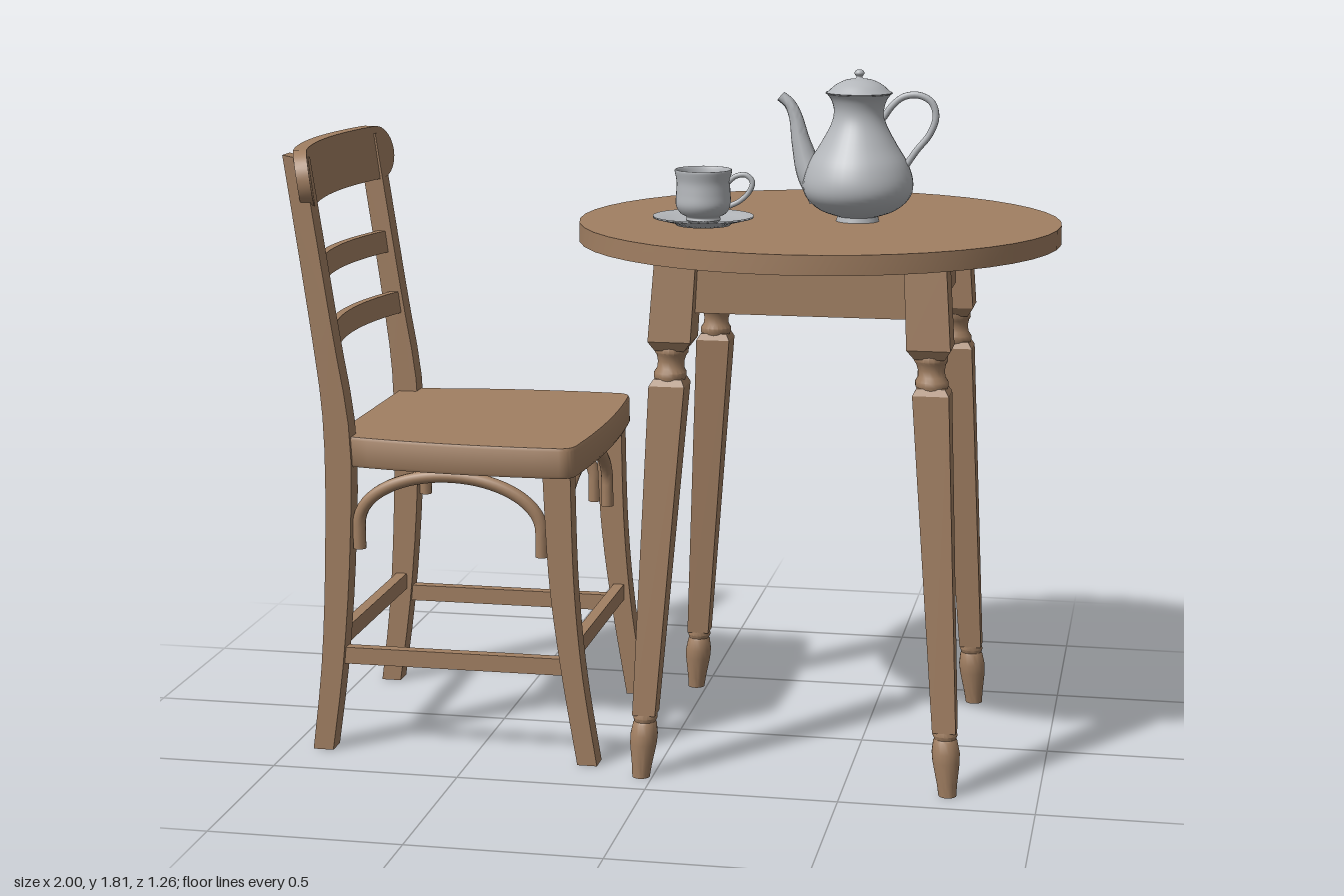
import * as THREE from 'three';
import { toCreasedNormals } from 'three/addons/utils/BufferGeometryUtils.js';

const V2 = (a) => a.map(([x, y]) => new THREE.Vector2(x, y));
const V3 = (a) => a.map((p) => new THREE.Vector3(...p));

// Move every vertex by a rule, then rebuild normals with sharp edges kept
function reshape(geo, rule, crease = 0.6) {
  const p = geo.attributes.position, v = new THREE.Vector3();
  for (let i = 0; i < p.count; i++) {
    rule(v.fromBufferAttribute(p, i), i);
    p.setXYZ(i, v.x, v.y, v.z);
  }
  return toCreasedNormals(geo, crease);
}

export function createModel() {
  const model = new THREE.Group();
  const wood = new THREE.MeshStandardMaterial({ color: 0xa17f62 });
  wood.name = 'wood';
  const glaze = new THREE.MeshStandardMaterial({ color: 0xb4b7bb, side: THREE.DoubleSide });
  glaze.name = 'grey glaze';

  const group = (name, x = 0, y = 0, z = 0) => {
    const g = new THREE.Group();
    g.name = name;
    g.position.set(x, y, z);
    model.add(g);
    return g;
  };
  const add = (parent, name, geo, mat = wood, x = 0, y = 0, z = 0) => {
    const m = new THREE.Mesh(geo, mat);
    m.name = name;
    m.position.set(x, y, z);
    parent.add(m);
    return m;
  };

  // ---- Table ----
  const table = group('table', 0.37);
  add(table, 'tableTop', toCreasedNormals(new THREE.CylinderGeometry(0.63, 0.63, 0.05, 44), 0.5), wood, 0, 1.395);

  // Splayed legs: square blocks joined by turned neck and foot
  const square = (y0, h0, y1, h1) =>
    new THREE.CylinderGeometry(h1 * Math.SQRT2, h0 * Math.SQRT2, y1 - y0, 4).rotateY(Math.PI / 4).translate(0, (y0 + y1) / 2, 0);
  const turned = (pts) => new THREE.LatheGeometry(V2(pts), 20);
  const legParts = [
    ['legBlock', () => square(1.15, 0.055, 1.37, 0.053)],
    ['legBlockChamfer', () => square(1.125, 0.038, 1.15, 0.055)],
    ['legNeck', () => turned([[0.036, 1.04], [0.042, 1.055], [0.042, 1.066], [0.035, 1.078], [0.034, 1.095],
      [0.038, 1.11], [0.043, 1.118], [0.043, 1.13], [0.036, 1.14]])],
    ['legShoulder', () => square(1.035, 0.046, 1.052, 0.036)],
    ['legTaper', () => square(0.17, 0.03, 1.035, 0.046)],
    ['legFoot', () => turned([[0, 0], [0.023, 0], [0.026, 0.03], [0.035, 0.09], [0.036, 0.115], [0.031, 0.145],
      [0.028, 0.15], [0.032, 0.16], [0.03, 0.172], [0, 0.175]])],
  ];
  for (const sx of [-1, 1]) for (const sz of [-1, 1]) {
    const leg = new THREE.Group();
    leg.name = 'tableLeg';
    table.add(leg);
    for (const [name, make] of legParts) {
      add(leg, name, reshape(make(), (v) => {
        const splay = 0.4 - 0.062 * v.y;
        v.x += sx * splay;
        v.z += sz * splay;
      }));
    }
  }
  for (const s of [-1, 1]) {
    add(table, 'apronSide', new THREE.BoxGeometry(0.56, 0.15, 0.04), wood, 0, 1.295, s * 0.315);
    add(table, 'apronEnd', new THREE.BoxGeometry(0.04, 0.15, 0.56), wood, s * 0.315, 1.295, 0);
  }

  // ---- Chair (faces +x) ----
  const chair = group('chair');
  const seat = new THREE.Shape();
  seat.moveTo(-0.875, -0.29);
  seat.lineTo(-0.825, -0.29);
  seat.lineTo(-0.825, -0.335);
  seat.quadraticCurveTo(-0.56, -0.39, -0.25, -0.374);
  seat.quadraticCurveTo(-0.215, -0.37, -0.21, -0.33);
  seat.quadraticCurveTo(-0.178, 0, -0.21, 0.33);
  seat.quadraticCurveTo(-0.215, 0.37, -0.25, 0.374);
  seat.quadraticCurveTo(-0.56, 0.39, -0.825, 0.335);
  seat.lineTo(-0.825, 0.29);
  seat.lineTo(-0.875, 0.29);
  const seatGeo = new THREE.ExtrudeGeometry(seat, {
    depth: 0.064, curveSegments: 10, bevelSize: 0.004, bevelThickness: 0.008, bevelOffset: -0.004, bevelSegments: 1,
  }).rotateX(-Math.PI / 2).translate(0, 0.788, 0);
  add(chair, 'seat', toCreasedNormals(seatGeo, 0.5));

  // Curved legs cut from a board: one smooth line up the front, one down the back
  const board = (front, back) => {
    const line = (pts) => new THREE.SplineCurve(V2(pts)).getPoints(16);
    const shape = new THREE.Shape([...line(front), ...line(back).reverse()]);
    return toCreasedNormals(new THREE.ExtrudeGeometry(shape, { depth: 0.058, bevelEnabled: false }).translate(0, 0, -0.029), 0.4);
  };
  const backLeg = board(
    [[-0.885, 0], [-0.85, 0.25], [-0.825, 0.55], [-0.818, 0.86], [-0.86, 1.15], [-0.925, 1.59]],
    [[-0.94, 0], [-0.91, 0.25], [-0.893, 0.55], [-0.889, 0.88], [-0.917, 1.15], [-0.98, 1.6]]);
  const frontLeg = board(
    [[-0.16, 0], [-0.198, 0.25], [-0.219, 0.5], [-0.226, 0.79]],
    [[-0.213, 0], [-0.254, 0.25], [-0.285, 0.5], [-0.3, 0.79]]);

  // Bent wooden arch under the seat, running along x
  const arch = (a) => {
    const pts = [];
    for (let i = 0; i <= 16; i++) {
      const t = Math.PI * (1 + 0.12 - (i / 16) * 1.24);
      pts.push([a * Math.cos(t), 0.625 + 0.137 * Math.sin(t) + (Math.sin(t) < 0 ? 0.03 * Math.sin(t) : 0), 0]);
    }
    pts[0] = [-a, 0.56, 0];
    pts[1] = [-a, 0.6, 0];
    pts[15] = [a, 0.6, 0];
    pts[16] = [a, 0.56, 0];
    return new THREE.TubeGeometry(new THREE.CatmullRomCurve3(V3(pts)), 40, 0.017, 10);
  };
  const addArch = (name, a, x, z, turn) => {
    const g = new THREE.Group();
    g.name = name;
    g.position.set(x, 0, z);
    g.rotation.y = turn;
    chair.add(g);
    add(g, 'archBow', arch(a));
    for (const s of [-1, 1]) add(g, 'archEnd', new THREE.CylinderGeometry(0.017, 0.017, 0.008, 10), wood, s * a, 0.56, 0);
  };

  for (const s of [-1, 1]) {
    add(chair, 'backLeg', backLeg, wood, 0, 0, s * 0.318);
    add(chair, 'frontLeg', frontLeg, wood, 0, 0, s * 0.318);
    add(chair, 'sideStretcher', new THREE.BoxGeometry(0.63, 0.045, 0.03), wood, -0.56, 0.262, s * 0.318);
    addArch('sideArch', 0.248, -0.558, s * 0.318, 0);
  }
  addArch('frontArch', 0.268, -0.262, 0, Math.PI / 2);
  add(chair, 'frontStretcher', new THREE.BoxGeometry(0.03, 0.045, 0.59), wood, -0.235, 0.3, 0);
  add(chair, 'backStretcher', new THREE.BoxGeometry(0.03, 0.045, 0.59), wood, -0.875, 0.3, 0);

  // Back rails bow toward -x; the top rail also has rounded ends
  const rail = (x, y, half, h, t, sag, round) =>
    reshape(new THREE.BoxGeometry(t, h, half * 2, 1, 1, 32), (v) => {
      const k = Math.sin((v.z / half) * Math.PI / 2);
      v.z = k * half;
      const over = Math.max(0, Math.abs(v.z) - (half - h / 2)) / (h / 2);
      if (round) v.y *= Math.sqrt(Math.max(0, 1 - over * over));
      v.x += x - sag * (1 - k * k) - 0.13 * v.y;
      v.y += y;
    });
  add(chair, 'topRail', rail(-0.916, 1.537, 0.376, 0.146, 0.036, 0.06, true));
  add(chair, 'upperSlat', rail(-0.906, 1.287, 0.3, 0.06, 0.022, 0.046, false));
  add(chair, 'lowerSlat', rail(-0.872, 1.115, 0.3, 0.06, 0.022, 0.046, false));

  // ---- Coffee pot ----
  const pot = group('pot', 0.47, 1.42, 0);
  const lathe = (pts, smooth = 40) => {
    const curve = new THREE.SplineCurve(V2(pts));
    return new THREE.LatheGeometry(curve.getPoints(smooth).map((p) => p.setX(Math.max(0, p.x))), 36);
  };
  add(pot, 'potFoot', new THREE.CylinderGeometry(0.052, 0.056, 0.02, 32), glaze, 0, 0.01, 0);
  add(pot, 'potBody', lathe([[0.05, 0.012], [0.1, 0.03], [0.135, 0.062], [0.144, 0.1], [0.13, 0.15], [0.1, 0.2],
    [0.073, 0.25], [0.065, 0.285], [0.072, 0.315], [0.087, 0.335]]), glaze);
  add(pot, 'potLid', lathe([[0.087, 0.332], [0.08, 0.338], [0.06, 0.355], [0.035, 0.367], [0.012, 0.371], [0.008, 0.376],
    [0.013, 0.384], [0.009, 0.392], [0, 0.394]]), glaze);
  // Spout: a tube narrowed toward the tip
  const spoutLine = new THREE.CatmullRomCurve3(V3([[-0.085, 0.07, 0], [-0.125, 0.125, 0], [-0.15, 0.2, 0],
    [-0.166, 0.27, 0], [-0.182, 0.303, 0], [-0.205, 0.322, 0]]));
  const rings = 30, sides = 14;
  const spout = new THREE.TubeGeometry(spoutLine, rings, 1, sides);
  add(pot, 'potSpout', reshape(spout, (v, i) => {
    const t = Math.floor(i / (sides + 1)) / rings;
    const c = spoutLine.getPointAt(t);
    v.sub(c).multiplyScalar(0.014 + 0.036 * (1 - t) ** 1.6).add(c);
  }, 1), glaze);
  const handle = (pts, r) => new THREE.TubeGeometry(new THREE.CatmullRomCurve3(V3(pts)), 40, r, 10);
  add(pot, 'potHandle', handle([[0.064, 0.27, 0], [0.085, 0.3, 0], [0.115, 0.325, 0], [0.155, 0.33, 0], [0.189, 0.312, 0],
    [0.2, 0.275, 0], [0.185, 0.23, 0], [0.15, 0.185, 0], [0.12, 0.14, 0]], 0.009), glaze);

  // ---- Cup and saucer ----
  const cup = group('cupAndSaucer', 0.09, 1.42, 0.165);
  add(cup, 'saucer', new THREE.LatheGeometry(V2([[0, 0.002], [0.07, 0.002], [0.075, 0.008], [0.13, 0.022], [0.13, 0.027],
    [0.1, 0.021], [0.06, 0.014], [0, 0.014]]), 36), glaze);
  add(cup, 'cupBowl', lathe([[0, 0.014], [0.042, 0.014], [0.044, 0.024], [0.06, 0.034], [0.071, 0.055], [0.07, 0.085],
    [0.069, 0.115], [0.074, 0.143], [0.069, 0.143], [0.064, 0.115], [0.064, 0.07], [0.05, 0.042], [0, 0.036]], 60), glaze);
  add(cup, 'cupHandle', handle([[0.066, 0.115, 0], [0.085, 0.13, 0], [0.112, 0.133, 0], [0.128, 0.115, 0],
    [0.118, 0.088, 0], [0.095, 0.066, 0], [0.068, 0.052, 0]], 0.007), glaze);

  return model;
}
